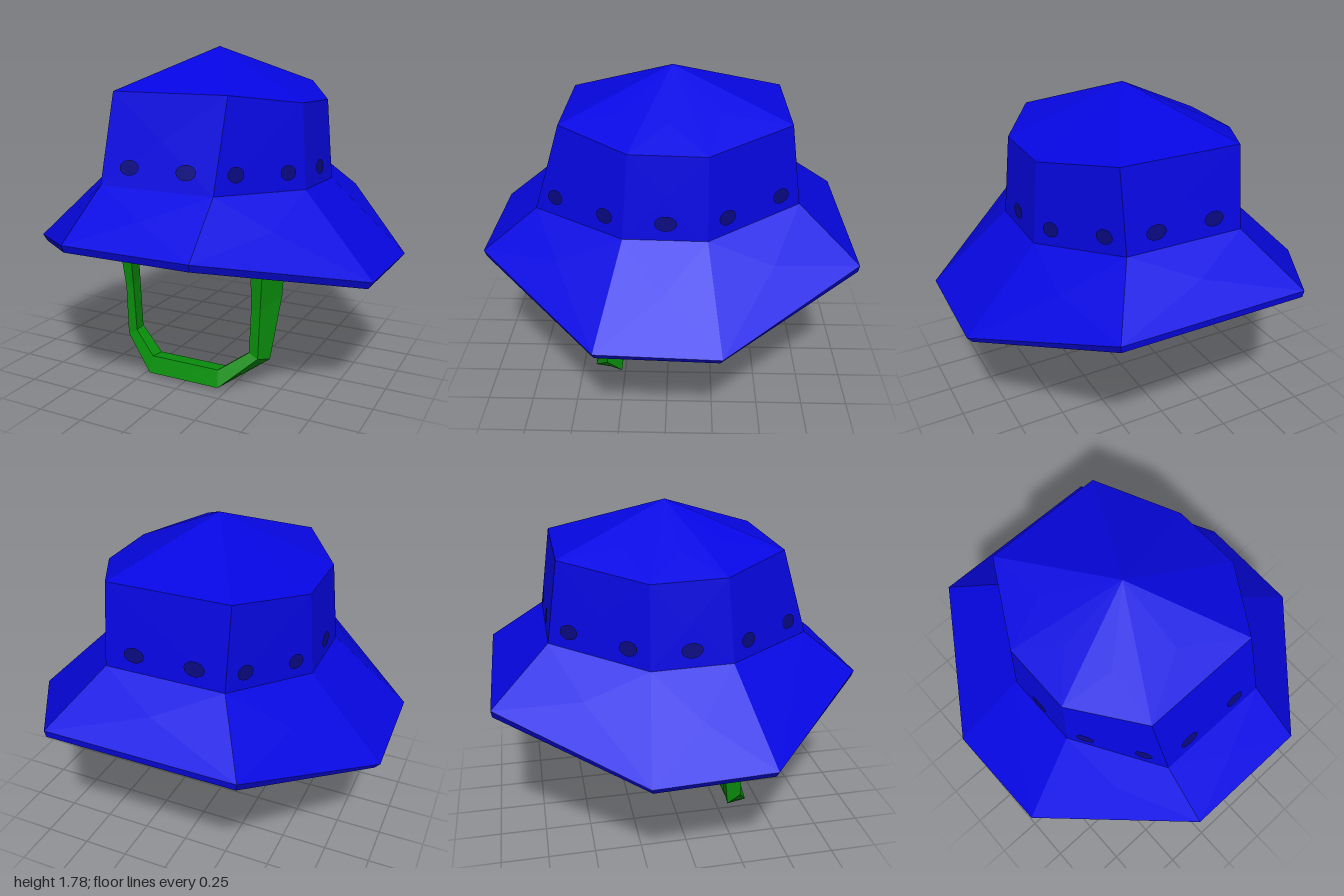
import * as THREE from 'three';

const mat = (name, color) => {
  const m = new THREE.MeshStandardMaterial({ color });
  m.name = name;
  return m;
};

const v = (p) => new THREE.Vector3(...p);

// Mirror the four +x corners (front to back) into a closed eight-corner ring
const ring = (half) => [...half, ...half.map(([x, y, z]) => [-x, y, z]).reverse()];

// Quads between two closed sections, a below b, facing outward
function loft(a, b) {
  return a.map((p, i) => {
    const j = (i + 1) % a.length;
    return [p, a[j], b[j], b[i]];
  });
}

// Mesh from polygons, each fanned around its centre and shaded with one flat normal
function facesMesh(name, faces, material) {
  const pos = [];
  const nor = [];
  for (const face of faces) {
    const pts = face.map(v);
    const centre = new THREE.Vector3();
    pts.forEach((p) => centre.addScaledVector(p, 1 / pts.length));
    const normal = new THREE.Vector3();
    pts.forEach((p, k) => {
      const q = pts[(k + 1) % pts.length];
      normal.add(p.clone().sub(centre).cross(q.clone().sub(centre)));
      pos.push(...centre, ...p, ...q);
    });
    normal.normalize();
    for (let k = 0; k < pts.length * 3; k++) nor.push(...normal);
  }
  const g = new THREE.BufferGeometry();
  g.setAttribute('position', new THREE.Float32BufferAttribute(pos, 3));
  g.setAttribute('normal', new THREE.Float32BufferAttribute(nor, 3));
  const mesh = new THREE.Mesh(g, material);
  mesh.name = name;
  return mesh;
}

export function createModel() {
  const blue = mat('hat blue', 0x0606e2);
  const navy = mat('eyelet navy', 0x08087e);
  const black = mat('inside black', 0x04040e);
  const green = mat('strap green', 0x0a900c);
  const hat = new THREE.Group();
  hat.name = 'bucketHat';

  // Octagonal rings of the hat
  const crownTop = ring([[0.32, 1.567, 0.535], [0.56, 1.515, 0.18], [0.56, 1.505, -0.2], [0.325, 1.578, -0.613]]);
  const crownBase = ring([[0.315, 1.112, 0.675], [0.595, 1.088, 0.21], [0.595, 1.08, -0.205], [0.32, 1.155, -0.673]]);
  const brimTop = ring([[0.345, 0.87, 0.969], [0.99, 0.695, 0.33], [1.0, 0.682, -0.275], [0.508, 0.903, -0.973]]);
  const brimBottom = ring([[0.34, 0.833, 0.957], [0.965, 0.658, 0.325], [0.972, 0.645, -0.265], [0.503, 0.867, -0.968]]);
  const lining = ring([[0.32, 0.855, 0.89], [0.895, 0.685, 0.305], [0.895, 0.675, -0.25], [0.42, 0.88, -0.905]]);

  // Crown and brim
  const apex = [0, 1.783, -0.02];
  hat.add(facesMesh('crownTop', crownTop.map((p, i) => [p, crownTop[(i + 1) % 8], apex]), blue));
  hat.add(facesMesh('crownWall', loft(crownBase, crownTop), blue));
  hat.add(facesMesh('brim', loft(brimTop, crownBase), blue));
  hat.add(facesMesh('brimEdge', [...loft(brimBottom, brimTop), ...loft(lining, brimBottom)], blue));

  // Dark underside
  const under = [[3, 2, 1, 0], [7, 6, 5, 4], [7, 4, 3, 0]];
  hat.add(facesMesh('lining', under.map((f) => f.map((i) => lining[i])), black));

  // Eyelets around the crown wall: one on each side, two on every other face
  const eyelets = new THREE.Group();
  eyelets.name = 'eyelets';
  const disc = new THREE.CircleGeometry(1, 14);
  for (let i = 0; i < 8; i++) {
    const j = (i + 1) % 8;
    const diagonal = i % 2 === 0;
    const spots = diagonal ? [0.2, 0.79] : i % 4 === 1 ? [0.5] : [0.25, 0.75];
    for (const s of spots) {
      const low = v(crownBase[i]).lerp(v(crownBase[j]), s);
      const high = v(crownTop[i]).lerp(v(crownTop[j]), s);
      const across = v(crownBase[j]).sub(v(crownBase[i])).normalize();
      const normal = across.clone().cross(high.clone().sub(low)).normalize();
      const up = normal.clone().cross(across);
      const eyelet = new THREE.Mesh(disc, navy);
      eyelet.name = 'eyelet';
      eyelet.scale.set(diagonal ? 0.047 : 0.055, 0.039, 1);
      eyelet.quaternion.setFromRotationMatrix(new THREE.Matrix4().makeBasis(across, up, normal));
      eyelet.position.copy(low.lerp(high, 0.207)).addScaledVector(normal, 0.007);
      eyelets.add(eyelet);
    }
  }
  hat.add(eyelets);

  // Chin strap: sections of inner front, outer front, outer back, inner back
  const side = [
    [[0.365, 0.87, 0.37], [0.445, 0.87, 0.375], [0.5, 0.87, 0.2], [0.42, 0.87, 0.2]],
    [[0.36, 0.46, 0.335], [0.41, 0.46, 0.332], [0.48, 0.51, 0.205], [0.4, 0.5, 0.205]],
    [[0.348, 0.21, 0.33], [0.4, 0.185, 0.335], [0.435, 0.16, 0.25], [0.36, 0.21, 0.245]],
    [[0.2, 0.11, 0.4], [0.21, 0.02, 0.425], [0.21, 0.002, 0.325], [0.2, 0.1, 0.31]],
  ];
  const path = [...side, ...side.map((s) => s.map(([x, y, z]) => [-x, y, z])).reverse()];
  const strap = [];
  for (let i = 0; i < path.length - 1; i++) strap.push(...loft(path[i + 1], path[i]));
  hat.add(facesMesh('chinStrap', strap, green));

  return hat;
}
